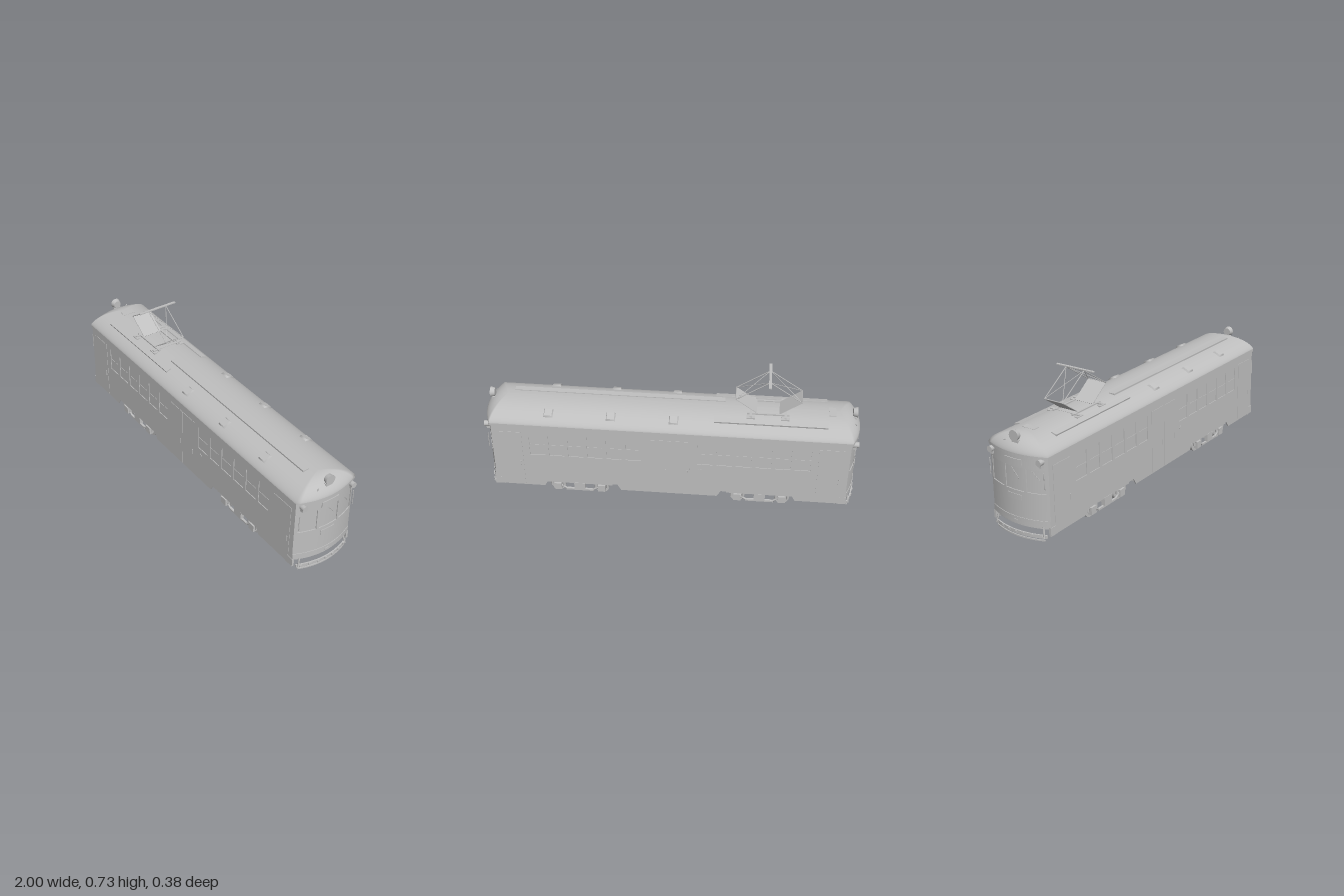
import * as THREE from 'three';

const grey = new THREE.MeshStandardMaterial({ color: 0xbfbfbf });
grey.name = 'plain grey';
const HW = 0.178; // half width of the body

function add(parent, geo, name, x = 0, y = 0, z = 0) {
  const m = new THREE.Mesh(geo, grey);
  m.name = name;
  m.position.set(x, y, z);
  parent.add(m);
  return m;
}
function group(parent, name) {
  const g = new THREE.Group();
  g.name = name;
  parent.add(g);
  return g;
}
// box given by its minimum and maximum corners
function box(parent, name, x0, x1, y0, y1, z0, z1) {
  return add(parent, new THREE.BoxGeometry(x1 - x0, y1 - y0, z1 - z0), name, (x0 + x1) / 2, (y0 + y1) / 2, (z0 + z1) / 2);
}
function rod(parent, name, a, b, r = 0.003) {
  const p = new THREE.Vector3(...a), q = new THREE.Vector3(...b), d = q.clone().sub(p);
  const m = add(parent, new THREE.CylinderGeometry(r, r, d.length(), 6), name);
  m.position.copy(p).add(q).multiplyScalar(0.5);
  m.quaternion.setFromUnitVectors(new THREE.Vector3(0, 1, 0), d.normalize());
  return m;
}
// x of the bowed end at a given z
const bow = (z) => 0.945 + 0.043 * (1 - (z / HW) ** 2);

// plan outline of the car: straight sides, bowed ends
function outline(grow = 0) {
  const pts = [], n = 16;
  for (const s of [1, -1])
    for (let i = 0; i <= n; i++) {
      const z = s * HW * (2 * i / n - 1);
      pts.push(new THREE.Vector2(s * (bow(z) + grow), z * (HW + grow) / HW));
    }
  return pts;
}
function planSlab(parent, name, y0, y1, grow) {
  const g = new THREE.ExtrudeGeometry(new THREE.Shape(outline(grow)), { depth: y1 - y0, bevelEnabled: false });
  g.rotateX(Math.PI / 2);
  return add(parent, g, name, 0, y1, 0);
}
// domed roof: rings of the outline shrinking towards the ridge
function roofGeometry() {
  const pts = outline(0.005), n = pts.length, rings = 14, pos = [], idx = [];
  for (let r = 0; r <= rings; r++) {
    const s = Math.cos(r / rings * Math.PI / 2);
    const y = 0.462 + 0.073 * Math.pow(Math.max(0, 1 - Math.pow(s, 2.2)), 0.7);
    for (const p of pts) {
      const c = Math.sign(p.x) * 0.88;
      pos.push(c + (p.x - c) * s, y, p.y * s);
    }
  }
  for (let r = 0; r < rings; r++)
    for (let i = 0; i < n; i++) {
      const a = r * n + i, b = r * n + (i + 1) % n, c = b + n, d = a + n;
      idx.push(a, c, b, a, d, c);
    }
  const g = new THREE.BufferGeometry();
  g.setAttribute('position', new THREE.Float32BufferAttribute(pos, 3));
  g.setIndex(idx);
  g.computeVertexNormals();
  return g;
}
// panel bent to follow the bowed end
function bent(parent, name, z0, z1, y0, y1, off = 0, th = 0.008) {
  const g = new THREE.BoxGeometry(th, y1 - y0, z1 - z0, 1, 1, 14);
  g.translate(0, (y0 + y1) / 2, (z0 + z1) / 2);
  const p = g.attributes.position;
  for (let i = 0; i < p.count; i++) p.setX(i, p.getX(i) + bow(p.getZ(i)) + off - th / 2);
  g.computeVertexNormals();
  return add(parent, g, name);
}
function hole(shape, x0, x1, y0, y1) {
  const h = new THREE.Path();
  h.moveTo(x0, y0).lineTo(x0, y1).lineTo(x1, y1).lineTo(x1, y0).closePath();
  shape.holes.push(h);
}

// side wall with window holes, door outlines and cut-outs over the bogies
function buildSide(car, name) {
  const g = group(car, name);
  const s = new THREE.Shape();
  s.moveTo(-0.945, 0.055);
  for (const c of [-0.47, 0.47])
    s.lineTo(c - 0.21, 0.055).lineTo(c - 0.19, 0.09).lineTo(c + 0.19, 0.09).lineTo(c + 0.21, 0.055);
  s.lineTo(0.945, 0.055).lineTo(0.945, 0.455).lineTo(-0.945, 0.455).closePath();
  for (const m of [-1, 1])
    for (let i = 0; i < 6; i++) {
      const x = m * (0.19 + i * 0.103);
      hole(s, x - 0.041, x + 0.041, 0.265, 0.4);
    }
  add(g, new THREE.ExtrudeGeometry(s, { depth: 0.006, bevelEnabled: false }), 'sideWall', 0, 0, HW - 0.006);
  box(g, 'windowPanes', -0.76, 0.76, 0.255, 0.41, HW - 0.009, HW - 0.004);
  for (const m of [-1, 1])
    for (let i = 0; i < 6; i++) {
      const x = m * (0.19 + i * 0.103);
      box(g, 'windowSash', x - 0.041, x + 0.041, 0.33, 0.334, HW - 0.005, HW - 0.002);
    }
  // centre door leaves and end doors as thin plates
  for (const [a, b] of [[-0.112, -0.002], [0.002, 0.112], [-0.915, -0.785], [0.785, 0.915]]) {
    box(g, 'doorLeaf', a, b, 0.062, 0.41, HW - 0.001, HW + 0.002);
    box(g, 'doorHandle', b - 0.018, b - 0.013, 0.19, 0.22, HW + 0.002, HW + 0.006);
  }
  const badge = add(g, new THREE.CylinderGeometry(0.011, 0.011, 0.004, 16), 'roundPort', 0.165, 0.225, HW);
  badge.rotation.x = Math.PI / 2;
  return g;
}

function buildEnd(car, name) {
  const g = group(car, name), wins = [[0.07, 0.165], [-0.055, 0.055], [-0.165, -0.07]];
  bent(g, 'lowerEndPanel', -HW, HW, 0.1, 0.27);
  bent(g, 'upperEndPanel', -HW, HW, 0.39, 0.455);
  bent(g, 'endWindowGlass', -HW + 0.004, HW - 0.004, 0.265, 0.395, -0.005, 0.004);
  for (const [a, b] of [[0.165, HW], [0.055, 0.07], [-0.07, -0.055], [-HW, -0.165]])
    bent(g, 'windowPillar', a, b, 0.27, 0.39);
  for (const [a] of wins.slice(1))
    rod(g, 'wiper', [bow(a + 0.02), 0.335, a + 0.025], [bow(a + 0.06), 0.385, a + 0.065], 0.0015);
  bent(g, 'bottomBand', -HW, HW, 0.1, 0.132, 0.003);
  bent(g, 'destinationBoard', -0.052, 0.052, 0.4, 0.433, 0.004, 0.006);
  bent(g, 'numberPlate', -0.04, 0.045, 0.222, 0.25, 0.003, 0.005);
  bent(g, 'couplerPlate', -0.011, 0.011, 0.11, 0.117, 0.006, 0.006);
  // headlight on the roof
  const lamp = add(g, new THREE.CylinderGeometry(0.028, 0.022, 0.024, 24), 'headlight', 0.962, 0.537, 0);
  lamp.rotation.z = -Math.PI / 2;
  box(g, 'headlightBracket', 0.93, 0.968, 0.495, 0.515, -0.02, 0.02);
  rod(g, 'roofHook', [0.95, 0.5, 0.045], [0.97, 0.505, 0.075], 0.003);
  for (const m of [-1, 1]) {
    const t = add(g, new THREE.CylinderGeometry(0.016, 0.014, 0.03, 16), 'markerLamp', 0.968, 0.437, m * 0.15);
    t.rotation.z = -Math.PI / 2;
    box(g, 'markerLampStem', 0.95, 0.972, 0.41, 0.425, m * 0.15 - 0.008, m * 0.15 + 0.008);
    rod(g, 'handrail', [0.966, 0.3, m * 0.168], [0.966, 0.385, m * 0.168], 0.0025);
    rod(g, 'fenderStay', [0.955, 0.1, m * 0.14], [0.966, 0.045, m * 0.15], 0.005);
    box(g, 'cornerStep', 0.9, 0.95, 0.055, 0.1, m * 0.174 - 0.006, m * 0.174 + 0.006);
  }
  // bowed fender bar with studs
  bent(g, 'fender', -0.16, 0.16, 0.042, 0.06, 0.006, 0.007);
  bent(g, 'lowerFenderBar', -0.15, 0.15, 0.027, 0.034, 0.004, 0.005);
  for (let i = -3; i <= 3; i++)
    bent(g, 'fenderStud', i * 0.046 - 0.006, i * 0.046 + 0.006, 0.045, 0.057, 0.01, 0.005);
  return g;
}

function buildBogie(car, cx) {
  const g = group(car, 'bogie');
  g.position.x = cx;
  for (const wx of [-0.12, 0.12]) {
    rod(g, 'axle', [wx, 0.043, -0.15], [wx, 0.043, 0.15], 0.01);
    for (const m of [-1, 1]) {
      const w = add(g, new THREE.CylinderGeometry(0.038, 0.038, 0.02, 28), 'wheel', wx, 0.043, m * 0.135);
      w.rotation.x = Math.PI / 2;
      box(g, 'axleBox', wx - 0.02, wx + 0.02, 0.028, 0.068, m * 0.16 - 0.012, m * 0.16 + 0.012);
      for (const d of [-0.032, 0.032])
        rod(g, 'spring', [wx + d, 0.05, m * 0.16], [wx + d, 0.082, m * 0.16], 0.008);
    }
  }
  for (const m of [-1, 1]) {
    const z = m * 0.16;
    box(g, 'bogieSideBeam', -0.18, 0.18, 0.074, 0.088, z - 0.008, z + 0.008);
    box(g, 'bogieLowerBeam', -0.075, 0.075, 0.024, 0.034, z - 0.006, z + 0.006);
    box(g, 'bolster', -0.03, 0.03, 0.034, 0.078, z - 0.01, z + 0.01);
    for (const d of [-1, 1]) rod(g, 'bogieBrace', [d * 0.07, 0.029, z], [d * 0.11, 0.055, z], 0.006);
  }
  box(g, 'crossBeam', -0.03, 0.03, 0.05, 0.085, -0.15, 0.15);
}

function buildPantograph(car) {
  const g = group(car, 'pantograph'), W = 0.056, top = 0.732;
  g.position.x = -0.508;
  for (const z of [-0.06, 0.06]) box(g, 'baseRail', -0.11, 0.11, 0.528, 0.537, z - 0.005, z + 0.005);
  for (const x of [-0.09, 0.09]) {
    box(g, 'baseCrossbar', x - 0.006, x + 0.006, 0.526, 0.536, -0.09, 0.09);
    for (const z of [-0.085, 0.085]) box(g, 'insulator', x - 0.022, x + 0.022, 0.508, 0.53, z - 0.012, z + 0.012);
  }
  for (const m of [-1, 1]) {
    const foot = [m * 0.06, 0.535], knee = [m * 0.172, 0.614];
    const dx = knee[0] - foot[0], dy = knee[1] - foot[1];
    const p = add(g, new THREE.BoxGeometry(Math.hypot(dx, dy), 0.003, 2 * W), 'lowerArmPanel',
      (foot[0] + knee[0]) / 2, (foot[1] + knee[1]) / 2, 0);
    p.rotation.z = Math.atan(dy / dx);
    rod(g, 'kneeBar', [...knee, -W], [...knee, W]);
    for (const z of [-W, W]) {
      rod(g, 'upperArm', [...knee, z], [0, top - 0.004, z], 0.0025);
      rod(g, 'upperBrace', [...knee, z], [0, top - 0.004, -z], 0.0018);
    }
  }
  rod(g, 'headBar', [0, top - 0.004, -W], [0, top - 0.004, W]);
  box(g, 'contactStrip', -0.007, 0.007, top - 0.002, top + 0.003, -0.115, 0.115);
}

export function createModel() {
  const model = new THREE.Group();
  model.name = 'tramcar';
  const car = group(model, 'car');
  car.rotation.set(-0.013, -0.007, 0.004); // slight lean of the whole car

  buildSide(car, 'leftHandSide');
  buildSide(car, 'rightHandSide').rotation.y = Math.PI;
  buildEnd(car, 'headEnd');
  buildEnd(car, 'tailEnd').rotation.y = Math.PI;
  planSlab(car, 'floor', 0.088, 0.1, -0.004);
  planSlab(car, 'eave', 0.448, 0.462, 0.005);
  add(car, roofGeometry(), 'roof');

  // roof boards, hatch and vents
  for (const z of [-0.115, 0.112]) {
    const b = box(car, 'walkBoard', -0.82, -0.23, 0.512, 0.522, z - 0.016, z + 0.016);
    b.rotation.x = Math.sign(z) * 0.25;
  }
  box(car, 'roofDuct', -0.28, 0.85, 0.525, 0.538, 0.03, 0.064);
  box(car, 'roofHatch', -0.862, -0.825, 0.51, 0.536, -0.045, 0.028);
  for (const x of [-0.02, 0.31, 0.64])
    for (const m of [-1, 1]) {
      const v = add(car, new THREE.CylinderGeometry(0.028, 0.04, 0.016, 4, 1, false, Math.PI / 4), 'roofVent', x, 0.51, m * 0.128);
      v.rotation.x = m * 0.45;
    }

  buildPantograph(car);
  for (const x of [-0.49, 0.49]) buildBogie(car, x);

  // equipment under the floor
  for (const [x, z, w, d, y] of [[0.19, -0.13, 0.07, 0.05, 0.05], [0.04, -0.12, 0.1, 0.06, 0.045],
    [-0.06, 0.11, 0.09, 0.06, 0.045], [0.2, 0.11, 0.06, 0.05, 0.05], [-0.2, 0.13, 0.07, 0.05, 0.05]])
    box(car, 'equipmentBox', x - w / 2, x + w / 2, y, 0.09, z - d / 2, z + d / 2);
  rod(car, 'airTank', [-0.19, 0.066, -0.13], [-0.08, 0.066, -0.13], 0.022).geometry = new THREE.CylinderGeometry(0.022, 0.022, 0.11, 18);
  return model;
}
